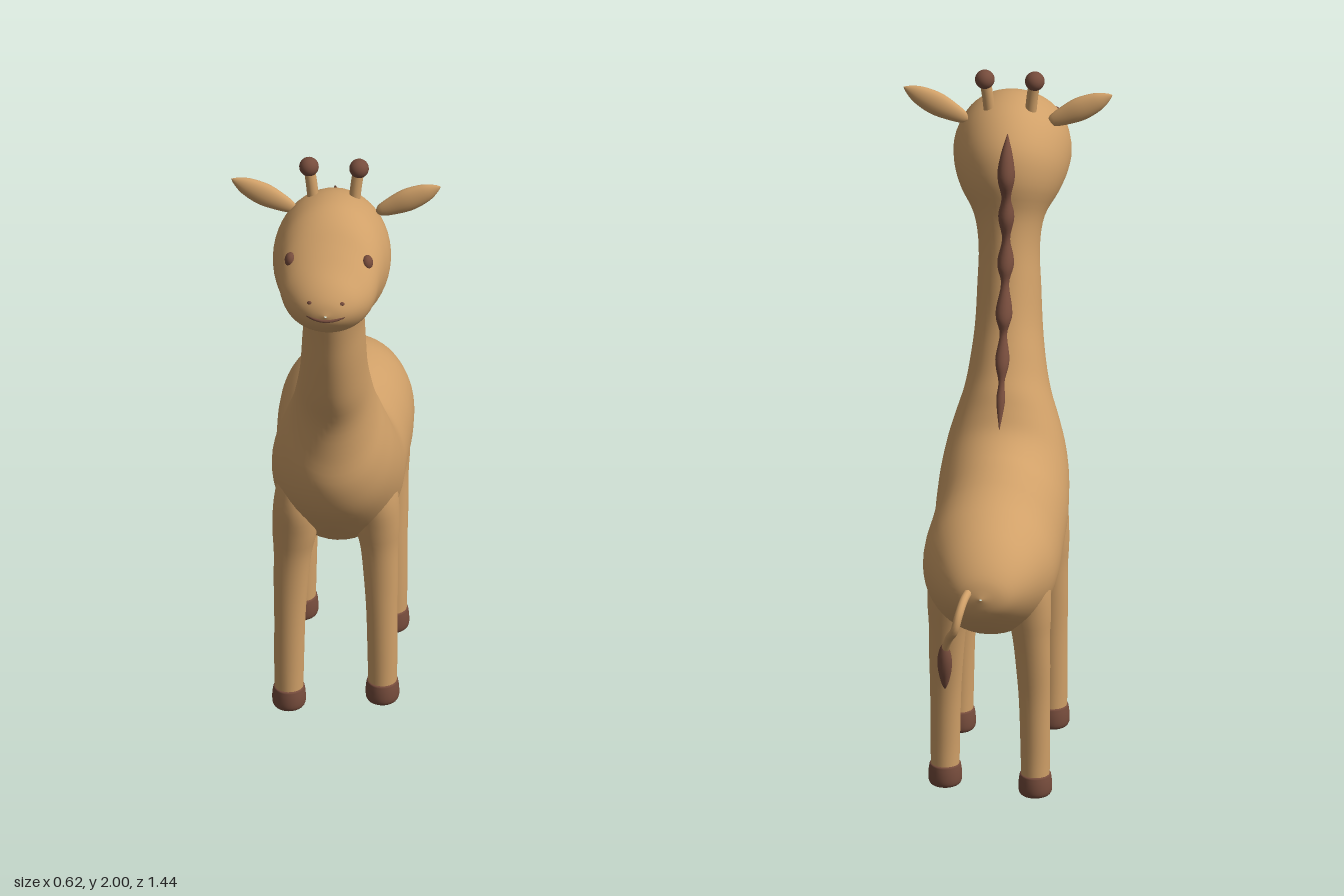
import * as THREE from 'three';

const tan = new THREE.MeshStandardMaterial({ color: 0xd0a068 });
tan.name = 'tan hide';
const brown = new THREE.MeshStandardMaterial({ color: 0x764c3c });
brown.name = 'brown hair and hoof';

const V = (x, y, z) => new THREE.Vector3(x, y, z);

// Smooth skin over elliptic rings. Row: [zA, yA, zB, yB, halfWidth, centreX],
// where A is the upper/back end of the ring and B the lower/front end.
function loft(rows, steps = 4, sides = 32) {
  const a = new THREE.CatmullRomCurve3(rows.map(r => V(r[4], r[1], r[0])), false, 'catmullrom', 0.5);
  const b = new THREE.CatmullRomCurve3(rows.map(r => V(r[5], r[3], r[2])), false, 'catmullrom', 0.5);
  const n = (rows.length - 1) * steps;
  const pos = [], index = [];
  for (let i = 0; i <= n; i++) {
    const p = a.getPoint(i / n), q = b.getPoint(i / n);
    const w = Math.max(p.x, 0.0005);
    for (let j = 0; j < sides; j++) {
      const t = (j / sides) * Math.PI * 2, s = Math.sin(t) / 2;
      pos.push(q.x + w * Math.cos(t), (p.y + q.y) / 2 + (p.y - q.y) * s, (p.z + q.z) / 2 + (p.z - q.z) * s);
      if (i < n) {
        const k = (j + 1) % sides, u = i * sides, v = u + sides;
        index.push(u + j, u + k, v + j, u + k, v + k, v + j);
      }
    }
  }
  const g = new THREE.BufferGeometry();
  g.setAttribute('position', new THREE.Float32BufferAttribute(pos, 3));
  g.setIndex(index);
  g.computeVertexNormals();
  return g;
}

// Round lathe from a few [radius, y] points, smoothed
function spun(points, sides = 24) {
  const c = new THREE.SplineCurve(points.map(p => new THREE.Vector2(p[0], p[1])));
  const pts = c.getPoints(24).map(p => new THREE.Vector2(Math.max(p.x, 0), p.y));
  return new THREE.LatheGeometry(pts, sides);
}

export function createModel() {
  const model = new THREE.Group();
  model.name = 'giraffe';
  const add = (name, geometry, material, parent = model) => {
    const m = new THREE.Mesh(geometry, material);
    m.name = name;
    parent.add(m);
    return m;
  };
  const bodyX = -0.025, headX = -0.014;

  // Body, neck and head in one skin, from rump to nose
  const trunk = [
    [-0.632, 0.73, -0.632, 0.725, 0.004], [-0.615, 0.785, -0.615, 0.67, 0.07],
    [-0.57, 0.84, -0.57, 0.625, 0.118], [-0.5, 0.89, -0.5, 0.575, 0.158],
    [-0.4, 0.93, -0.4, 0.52, 0.192], [-0.3, 0.943, -0.28, 0.495, 0.2],
    [-0.2, 0.943, -0.15, 0.492, 0.197], [-0.1, 0.948, 0, 0.5, 0.194],
    [-0.045, 0.967, 0.09, 0.535, 0.195], [0, 1.0, 0.2, 0.635, 0.19],
    [0.03, 1.05, 0.285, 0.735, 0.175], [0.055, 1.1, 0.324, 0.84, 0.152],
    [0.085, 1.15, 0.322, 0.95, 0.128], [0.115, 1.21, 0.33, 1.06, 0.112],
    [0.15, 1.29, 0.372, 1.17, 0.1], [0.18, 1.39, 0.405, 1.3, 0.094],
    [0.204, 1.5, 0.428, 1.42, 0.09], [0.213, 1.6, 0.45, 1.505, 0.104],
    [0.202, 1.71, 0.5, 1.54, 0.143], [0.232, 1.81, 0.54, 1.55, 0.166],
    [0.32, 1.885, 0.57, 1.557, 0.174], [0.43, 1.905, 0.59, 1.561, 0.163],
    [0.505, 1.882, 0.607, 1.566, 0.152], [0.57, 1.832, 0.632, 1.576, 0.141],
    [0.62, 1.792, 0.66, 1.592, 0.124], [0.67, 1.755, 0.69, 1.62, 0.09],
    [0.702, 1.718, 0.708, 1.645, 0.05], [0.716, 1.68, 0.716, 1.674, 0.004],
  ].map(r => [...r, THREE.MathUtils.lerp(bodyX, headX, THREE.MathUtils.smoothstep(r[1], 1, 1.7))]);
  add('bodyNeckAndHead', loft(trunk, 4, 48), tan);

  // Legs: [y, half width, half depth, z shift, x shift inward]
  const legRows = [
    [0.05, 0.042, 0.046, 0, 0], [0.15, 0.044, 0.044, 0, 0], [0.3, 0.046, 0.043, -0.004, 0.002],
    [0.42, 0.051, 0.046, -0.012, 0.005], [0.52, 0.056, 0.053, -0.018, 0.01], [0.6, 0.066, 0.066, -0.02, 0.016],
    [0.7, 0.066, 0.08, -0.02, 0.02], [0.8, 0.045, 0.06, -0.02, 0.02], [0.84, 0.002, 0.002, -0.02, 0.02],
  ];
  const hoof = spun([[0, 0.003], [0.035, 0.003], [0.047, 0.01], [0.05, 0.03], [0.047, 0.06], [0.04, 0.07], [0, 0.07]]);
  const legs = [
    ['frontLeftLeg', 1, 0.1, 0.5], ['frontRightLeg', -1, 0.153, 0.5],
    ['hindLeftLeg', 1, -0.313, 1.5], ['hindRightLeg', -1, -0.367, 1.5],
  ];
  for (const [name, side, z, lean] of legs) {
    const leg = new THREE.Group();
    leg.name = name;
    model.add(leg);
    add('leg', loft(legRows.map(([y, w, d, dz, dx]) =>
      [z + dz * lean - d, y, z + dz * lean + d, y, w, bodyX + side * (0.136 - dx)]), 4, 24), tan, leg);
    const foot = add('hoof', hoof, brown, leg);
    foot.position.set(bodyX + side * 0.136, 0, z);
    foot.scale.z = 1.1;
  }

  // Mane: a lumpy strip running up the back of the neck, [z, y, half width]
  const mane = [
    [0.0, 1.005, 0.001], [0.04, 1.08, 0.013], [0.063, 1.13, 0.009], [0.09, 1.19, 0.021],
    [0.122, 1.26, 0.011], [0.138, 1.32, 0.025], [0.17, 1.4, 0.012], [0.19, 1.46, 0.025],
    [0.203, 1.53, 0.012], [0.207, 1.6, 0.024], [0.206, 1.66, 0.014], [0.203, 1.73, 0.026],
    [0.217, 1.79, 0.018], [0.245, 1.848, 0.001],
  ];
  add('mane', loft(mane.map(([z, y, r]) =>
    [z - r * 1.15, y - r * 0.3, z + r * 1.15, y + r * 0.3, r, -0.018]), 5, 16), brown);

  // Tail and tuft
  const tailPath = new THREE.CatmullRomCurve3([
    V(0.01, 0.745, -0.6), V(0.022, 0.735, -0.655), V(0.034, 0.7, -0.698),
    V(0.045, 0.657, -0.706), V(0.064, 0.618, -0.672), V(0.077, 0.575, -0.648),
  ]);
  add('tail', new THREE.TubeGeometry(tailPath, 30, 0.0125, 12), tan);
  const tuft = add('tailTuft', spun([[0, -0.08], [0.01, -0.06], [0.02, -0.015], [0.021, 0.025], [0.013, 0.06], [0, 0.075]], 16), brown);
  tuft.position.set(0.08, 0.518, -0.641);
  tuft.rotation.x = -0.1;

  // Paired head parts
  const earShape = spun([[0, 0], [0.018, 0.015], [0.03, 0.06], [0.036, 0.11], [0.028, 0.165], [0.012, 0.2], [0, 0.215]]);
  for (const [label, s] of [['left', 1], ['right', -1]]) {
    const ear = add(label + 'Ear', earShape, tan);
    ear.position.set(headX * 0.5 + s * 0.118, 1.835, 0.37);
    ear.rotation.z = -s * 1.1;
    ear.scale.z = 0.6;

    // Horn with a knob on top
    const knob = V(headX + s * 0.074, 1.974, 0.353);
    const stem = new THREE.CatmullRomCurve3([V(headX + s * 0.06, 1.86, 0.362), V(headX + s * 0.066, 1.92, 0.358), knob]);
    add(label + 'HornStem', new THREE.TubeGeometry(stem, 8, 0.017, 16), tan);
    add(label + 'HornKnob', new THREE.SphereGeometry(0.029, 24, 16), brown).position.copy(knob);

    const eye = add(label + 'Eye', new THREE.SphereGeometry(0.022, 20, 14), brown);
    eye.position.set(headX + s * 0.113, 1.78, 0.567);
    eye.scale.set(0.8, 1.08, 0.95);

    const nostril = add(label + 'Nostril', new THREE.SphereGeometry(0.01, 12, 8), brown);
    nostril.position.set(headX + s * 0.046, 1.71, 0.692);
    nostril.scale.set(1, 0.8, 0.7);
  }

  // Mouth line
  const smile = [-0.056, -0.03, 0, 0.03, 0.056].map(x =>
    V(headX + x, 1.662 + x * x * 2.8, 0.715 - x * x * 5.5));
  add('mouth', new THREE.TubeGeometry(new THREE.CatmullRomCurve3(smile), 24, 0.0045, 8), brown);

  return model;
}
